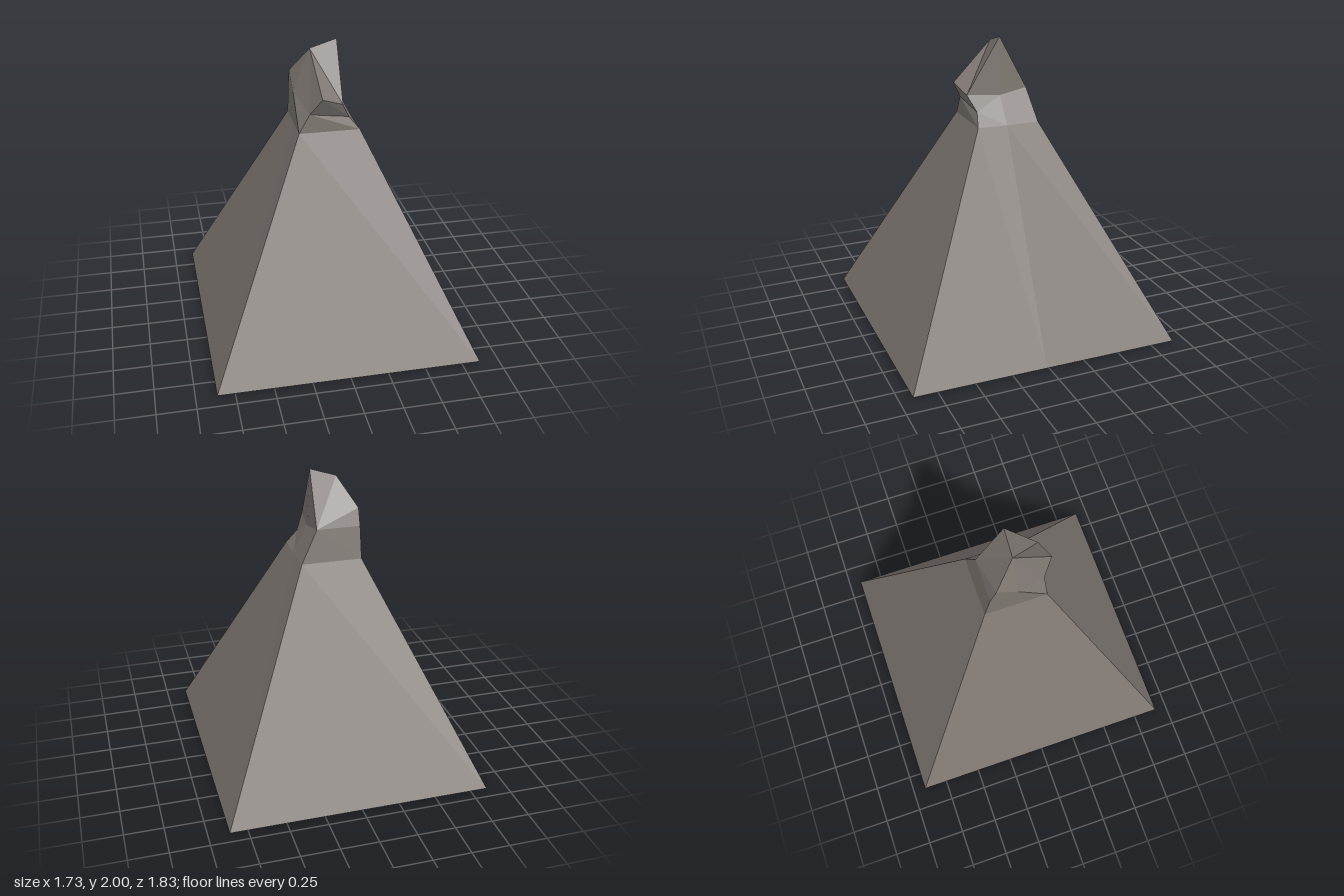
import * as THREE from 'three';

// Cross-sections, each in the order:
// front +x, front -x, middle -x, back -x, back +x, middle +x
const base = [[0.865, 0.015, 0.915], [-0.865, 0.015, 0.915], [-0.865, 0.008, 0.02],
  [-0.865, 0, -0.915], [0.865, 0, -0.915], [0.865, 0.008, 0.02]];
const shoulder = [[0.2, 1.445, 0.22], [-0.2, 1.445, 0.22], [-0.2, 1.44, 0.02],
  [-0.2, 1.44, -0.2], [0.2, 1.44, -0.2], [0.2, 1.44, 0.02]];
const neck = [[0.13, 1.53, 0.2], [-0.13, 1.57, 0.22], [-0.2, 1.66, 0.02],
  [-0.2, 1.65, -0.16], [0.09, 1.65, -0.16], [0.105, 1.62, 0.03]];
const crest = [[0.08, 1.635, 0.25], [-0.06, 1.69, 0.29], [-0.09, 1.945, 0.02],
  [-0.2, 1.76, -0.12], [0.09, 1.65, -0.16], [0.085, 2, 0.025]];

// Quads joining two cross-sections
function band(lower, upper) {
  return lower.map((p, i) => {
    const j = (i + 1) % lower.length;
    return [p, upper[i], upper[j], lower[j]];
  });
}

// Flat-faced mesh from quads, leaving out collapsed triangles
function facetMesh(name, quads, material) {
  const positions = [];
  for (const [a, b, c, d] of quads) {
    for (const corners of [[a, b, c], [a, c, d]]) {
      const triangle = new THREE.Triangle(...corners.map((p) => new THREE.Vector3(...p)));
      if (triangle.getArea() > 1e-6) positions.push(...corners.flat());
    }
  }
  const geometry = new THREE.BufferGeometry();
  geometry.setAttribute('position', new THREE.Float32BufferAttribute(positions, 3));
  geometry.computeVertexNormals();
  const mesh = new THREE.Mesh(geometry, material);
  mesh.name = name;
  return mesh;
}

export function createModel() {
  const rock = new THREE.MeshStandardMaterial({ color: 0x7d7671 });
  rock.name = 'grey rock';
  rock.side = THREE.DoubleSide;
  rock.flatShading = true;

  const group = new THREE.Group();
  group.name = 'rockSpire';

  // Four-sided mountain slope, hollow and open underneath
  group.add(facetMesh('slope', band(base, shoulder), rock));

  // Short collar narrowing towards the summit
  group.add(facetMesh('neck', band(shoulder, neck), rock));

  // Overhanging summit: sides, front face and back face
  const [frontL, frontR, topR, backR, backL, topL] = crest;
  group.add(facetMesh('summit', [
    ...band(neck, crest),
    [frontL, topL, topR, frontR],
    [topR, topL, backL, backR],
  ], rock));

  return group;
}
